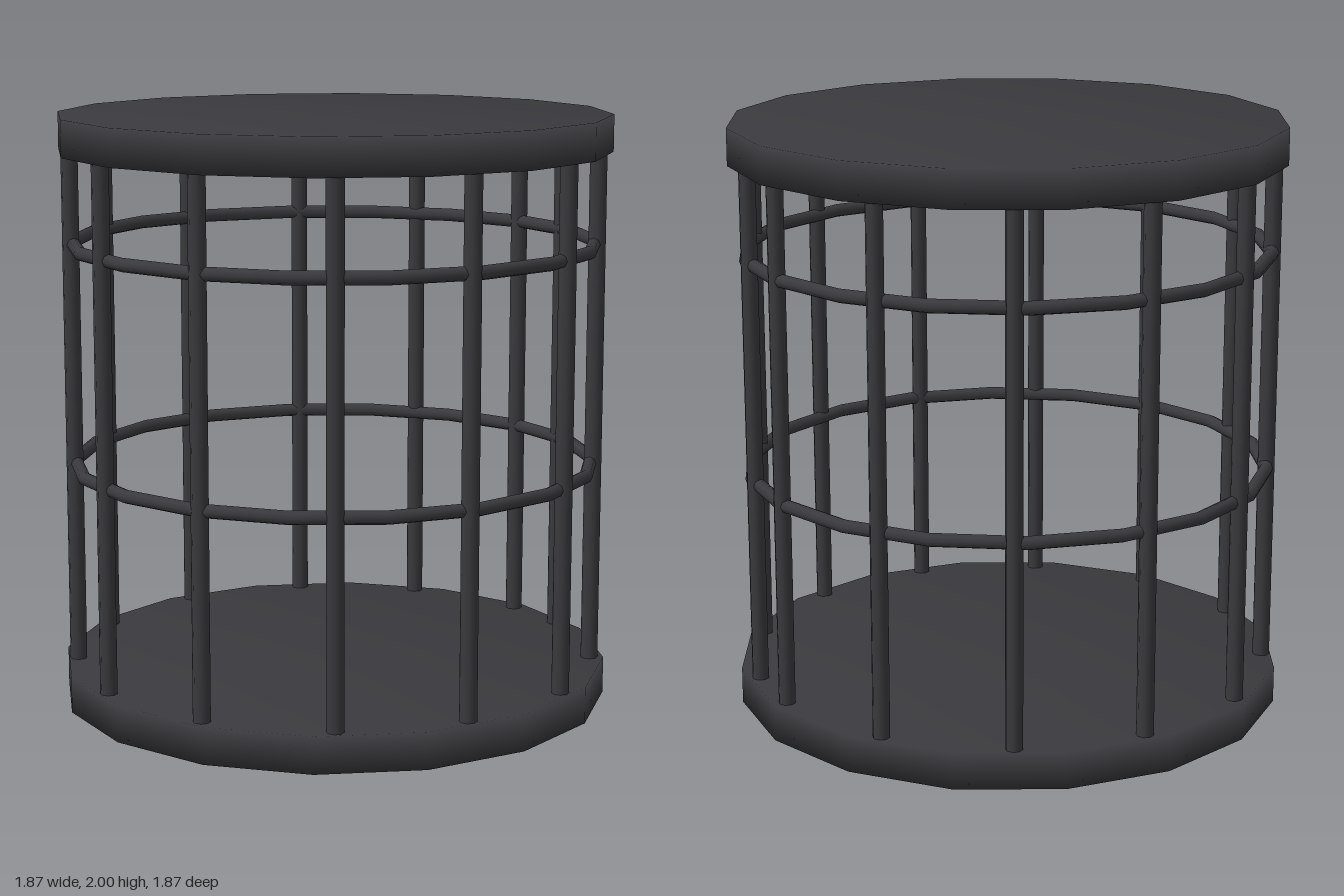
import * as THREE from 'three';
import { mergeVertices } from 'three/addons/utils/BufferGeometryUtils.js';

const material = new THREE.MeshStandardMaterial({ color: 0x3a3a3e });

const RADIUS = 0.886; // circle the bars and hoops follow
const DISC_RADIUS = 0.935;
const DISC_HEIGHT = 0.125;

// Weld all corners so shading runs softly over the rim
function softDisc() {
  const g = new THREE.CylinderGeometry(DISC_RADIUS, DISC_RADIUS, DISC_HEIGHT, 16);
  g.deleteAttribute('normal');
  g.deleteAttribute('uv');
  const welded = mergeVertices(g);
  welded.computeVertexNormals();
  return welded;
}

export function createModel() {
  const cage = new THREE.Group();
  cage.name = 'cage';

  const add = (name, geometry, x, y, z) => {
    const mesh = new THREE.Mesh(geometry, material);
    mesh.name = name;
    mesh.position.set(x, y, z);
    cage.add(mesh);
    return mesh;
  };

  // Floor and roof plates
  const disc = softDisc();
  add('floor', disc, 0, DISC_HEIGHT / 2, 0);
  add('roof', disc, 0, 2 - DISC_HEIGHT / 2, 0);

  // Upright bars, half a radian apart
  const bar = new THREE.CylinderGeometry(0.029, 0.029, 1.8, 8);
  for (let i = 0; i < 13; i++) {
    const a = i * 0.5;
    add(`bar${i + 1}`, bar, RADIUS * Math.cos(a), 1, -RADIUS * Math.sin(a));
  }

  // Horizontal hoops tying the bars together
  const hoop = new THREE.TorusGeometry(RADIUS, 0.023, 8, 18);
  hoop.rotateX(-Math.PI / 2);
  add('lowerHoop', hoop, 0, 0.815, 0);
  add('upperHoop', hoop, 0, 1.565, 0);

  return cage;
}
